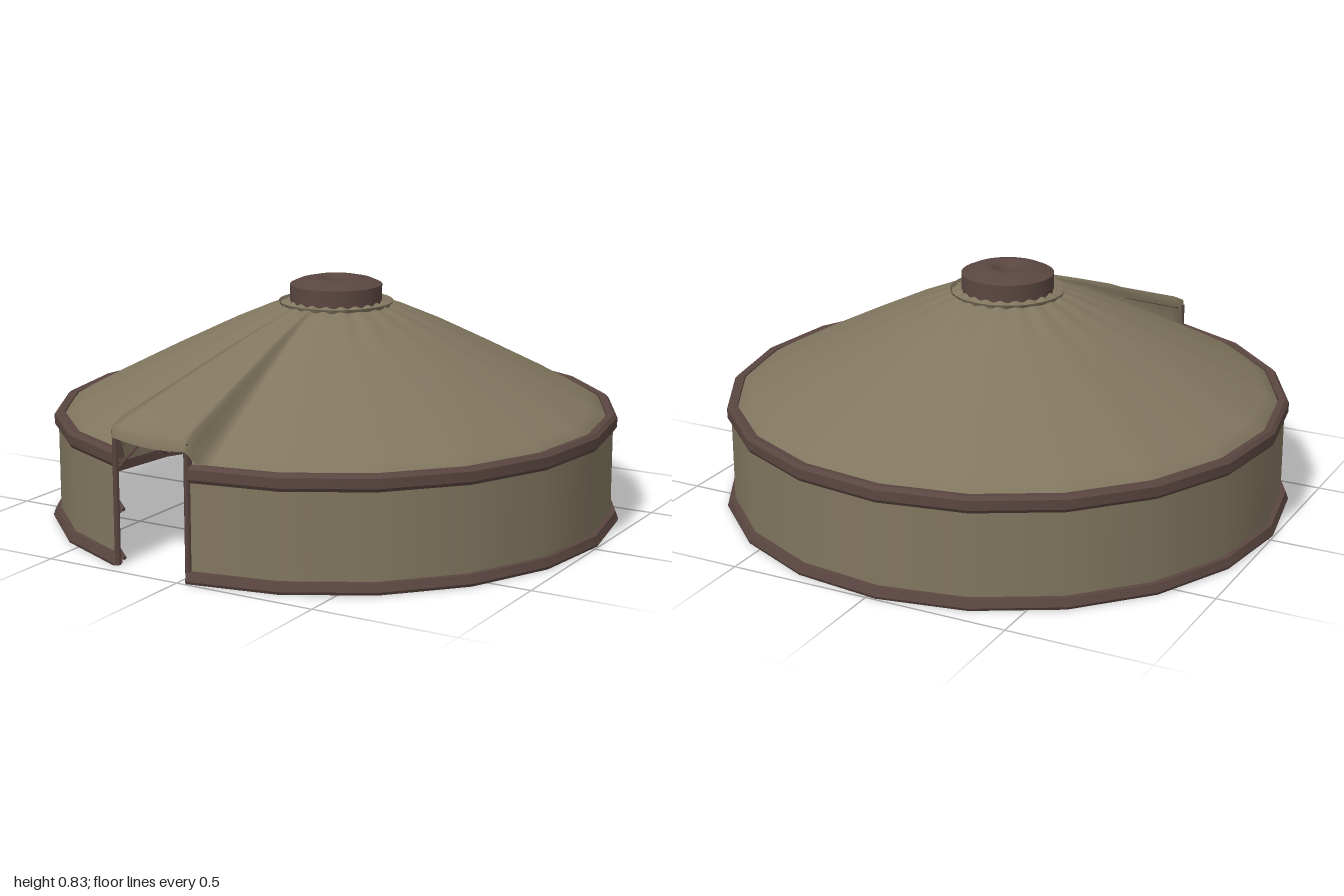
import * as THREE from 'three';
import { toCreasedNormals } from 'three/addons/utils/BufferGeometryUtils.js';

const canvas = new THREE.MeshStandardMaterial({ color: 0x81765f, side: THREE.DoubleSide });
canvas.name = 'canvas';
const wood = new THREE.MeshStandardMaterial({ color: 0x5a4641, side: THREE.DoubleSide });
wood.name = 'wood';

const RAD = Math.PI / 180;
const PANELS = 20, STEP = 18;      // one of the twenty panels is the doorway
const DOOR_L = 1.8, DOOR_R = -16.2; // doorway edges in degrees, measured from +z towards +x

const polar = (deg, r, y) => new THREE.Vector3(Math.sin(deg * RAD) * r, y, Math.cos(deg * RAD) * r);
const corner = (k, r, y) => polar(DOOR_L + k * STEP, r, y);

function add(parent, name, geometry, material) {
  const mesh = new THREE.Mesh(geometry, material);
  mesh.name = name;
  parent.add(mesh);
  return mesh;
}

// straight pole between two points
function rod(parent, name, a, b, radius) {
  const mesh = add(parent, name, new THREE.CylinderGeometry(radius, radius, a.distanceTo(b), 6), wood);
  mesh.position.lerpVectors(a, b, 0.5);
  mesh.quaternion.setFromUnitVectors(new THREE.Vector3(0, 1, 0), b.clone().sub(a).normalize());
}

// profile swept round the nineteen wall panels, or full circle
function sweep(points, full = false) {
  const profile = points.map(p => new THREE.Vector2(...p));
  return full
    ? new THREE.LatheGeometry(profile, 32)
    : new THREE.LatheGeometry(profile, PANELS - 1, DOOR_L * RAD, (PANELS - 1) * STEP * RAD);
}

// how far the straight-sided outline lies inside its circle
function polygonFactor(deg) {
  const d = (((deg - DOOR_L) % STEP) + STEP) % STEP - STEP / 2;
  return Math.cos(STEP / 2 * RAD) / Math.cos(d * RAD);
}

// grid of points (rows from inner to outer, columns round the axis) as a surface
function sheet(rows, columns, point) {
  const positions = [], index = [];
  for (let i = 0; i < rows; i++) {
    for (let j = 0; j < columns; j++) positions.push(...point(i, j).toArray());
  }
  for (let i = 0; i < rows - 1; i++) {
    for (let j = 0; j < columns; j++) {
      const n = (j + 1) % columns;
      const a = i * columns + j, b = i * columns + n, c = a + columns, d = b + columns;
      index.push(a, c, b, b, c, d);
    }
  }
  const g = new THREE.BufferGeometry();
  g.setAttribute('position', new THREE.Float32BufferAttribute(positions, 3));
  g.setIndex(index);
  g.computeVertexNormals();
  return g;
}

// roof cloth, lifted into a flap over the doorway
function roofGeometry() {
  const slope = [[0.16, 0.757], [0.25, 0.727], [0.4, 0.663], [0.6, 0.566], [0.8, 0.465], [0.9, 0.412], [0.945, 0.386], [0.96, 0.35]];
  const flap = [[0.16, 0.757], [0.25, 0.735], [0.4, 0.69], [0.6, 0.622], [0.8, 0.551], [0.93, 0.505], [0.985, 0.478], [0.992, 0.435]];
  const angles = [];
  for (let i = 0; i <= 10; i++) angles.push(DOOR_R + i * 1.8);
  for (const d of [0.6, 1.2, 2, 3, 4]) angles.push(DOOR_L + d);
  for (let d = DOOR_L + 6; d < 360 + DOOR_R - 2; d += 3) angles.push(d);
  angles.push(360 + DOOR_R - 0.9, 360 + DOOR_R - 0.4);
  return sheet(slope.length, angles.length, (i, j) => {
    const deg = angles[j];
    const outside = deg <= DOOR_L ? 0 : Math.min((deg - DOOR_L) / 3, (360 + DOOR_R - deg) / 0.9);
    const w = 1 - THREE.MathUtils.smoothstep(outside, 0, 1);
    const t = i / (slope.length - 1);
    const r = THREE.MathUtils.lerp(slope[i][0], flap[i][0], w);
    let y = THREE.MathUtils.lerp(slope[i][1], flap[i][1], w);
    y += 0.004 * Math.cos(deg * PANELS * RAD) * Math.max(0, 1 - i / 3);   // gathers at the crown
    y -= w * t * 0.012 * Math.sin(Math.PI * THREE.MathUtils.clamp((deg - DOOR_R) / STEP, 0, 1)); // sag
    return polar(deg, r * THREE.MathUtils.lerp(1, polygonFactor(deg), t), y);
  });
}

export function createModel() {
  const model = new THREE.Group();
  model.name = 'tent';

  // wall cloth and roof cloth
  add(model, 'wall', sweep([[0.972, 0.02], [0.972, 0.35]]), canvas);
  add(model, 'roof', roofGeometry(), canvas);

  // zigzag hem of the roof cloth beneath the crown
  add(model, 'crownHem', sheet(2, 48, (i, j) => i === 0
    ? polar(j * 7.5, 0.2, 0.757)
    : polar(j * 7.5, 0.19, j % 2 ? 0.728 : 0.745)), canvas).geometry.index.array.reverse();

  // rails at the foot and the top of the wall
  add(model, 'footRail', toCreasedNormals(sweep([
    [0.96, 0.005], [0.995, 0.005], [1.0, 0.015], [0.99, 0.042], [0.96, 0.042], [0.96, 0.005]]), 0.5), wood);
  add(model, 'topRail', toCreasedNormals(sweep([
    [0.95, 0.335], [0.978, 0.333], [0.986, 0.345], [0.986, 0.378], [0.974, 0.39], [0.95, 0.387], [0.95, 0.335]]), 0.5), wood);

  // crown ring with its smoke hole
  add(model, 'crown', toCreasedNormals(sweep([
    [0.028, 0.75], [0.15, 0.745], [0.161, 0.752], [0.161, 0.815], [0.13, 0.829], [0.085, 0.839],
    [0.06, 0.838], [0.042, 0.825], [0.028, 0.8], [0.028, 0.75]], true), 0.75), wood);

  // crossed lattice rods on the inside of the wall
  const lattice = new THREE.Group();
  lattice.name = 'lattice';
  model.add(lattice);
  for (let k = 0; k < PANELS - 1; k++) {
    for (const y of [0.02, 0.185]) {
      rod(lattice, 'latticeRod', corner(k, 0.962, y), corner(k + 1, 0.962, y + 0.165), 0.007);
      rod(lattice, 'latticeRod', corner(k, 0.95, y + 0.165), corner(k + 1, 0.95, y), 0.007);
    }
  }

  // roof poles from the top rail to the crown
  const poles = new THREE.Group();
  poles.name = 'roofPoles';
  model.add(poles);
  for (let k = 0; k < PANELS; k++) {
    const byDoor = k === 0 || k === PANELS - 1;
    rod(poles, 'roofPole', corner(k, 0.95, byDoor ? 0.455 : 0.37), corner(k, 0.14, 0.752), 0.007);
  }

  // door frame
  const door = new THREE.Group();
  door.name = 'doorFrame';
  model.add(door);
  for (const k of [-1, 0]) {
    rod(door, 'doorPost', corner(k, 0.978, 0.005), corner(k, 0.978, 0.46), 0.01);
    rod(door, 'doorBrace', corner(k, 0.95, 0.36), corner(k, 0.975, 0.45), 0.008);
  }
  rod(door, 'lintel', corner(-1, 0.978, 0.455), corner(0, 0.978, 0.455), 0.01);

  return model;
}
